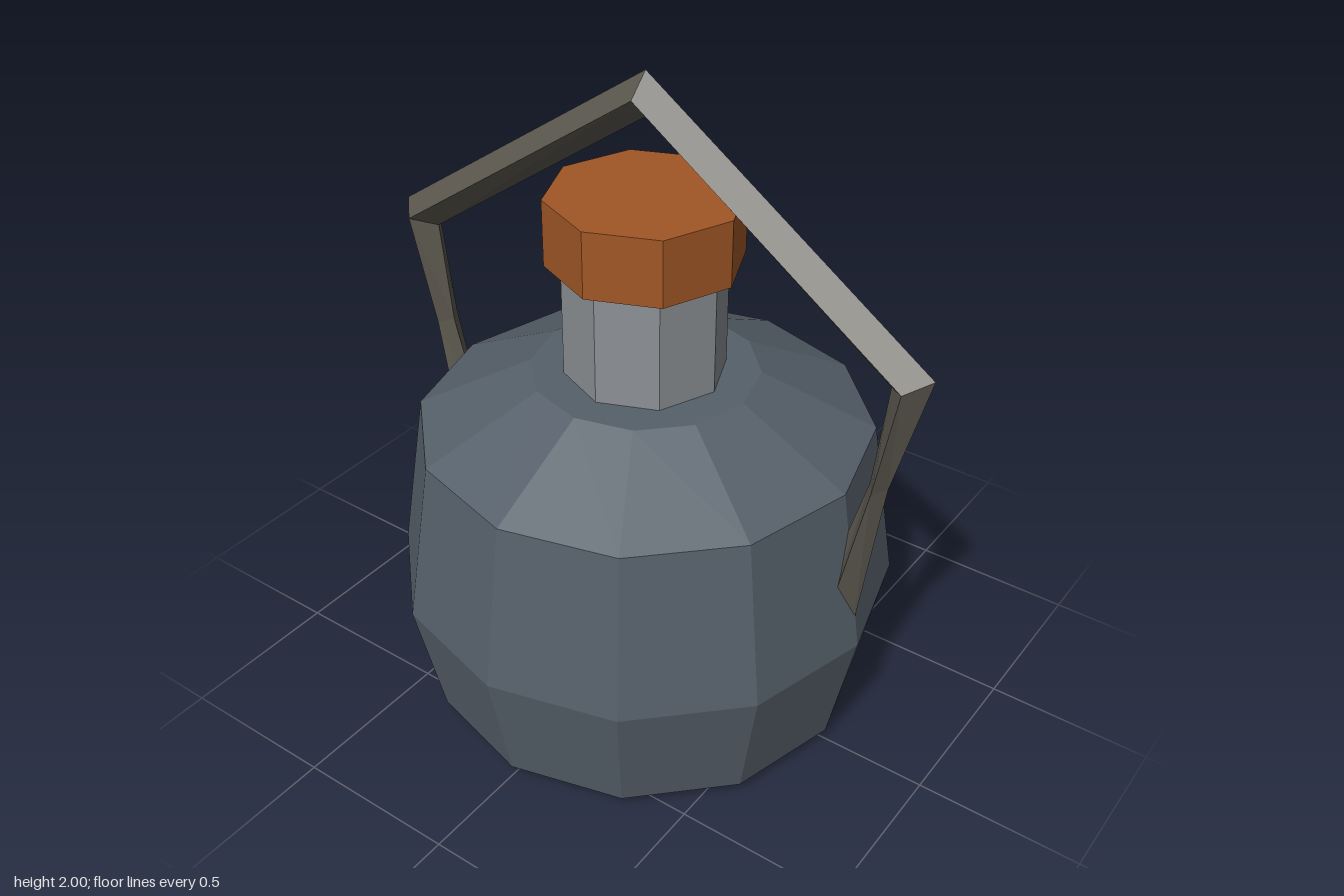
import * as THREE from 'three';

const mat = (color) => new THREE.MeshStandardMaterial({ color, flatShading: true });

function addPart(group, name, geometry, material, y = 0) {
  const mesh = new THREE.Mesh(geometry, material);
  mesh.name = name;
  mesh.position.y = y;
  group.add(mesh);
}

// Diamond-section strap: each section is outer ridge, side corners, inner ridge
function strapGeometry(sections) {
  const positions = [];
  const index = [];
  for (const { out, inn, w } of sections) {
    const mx = (out[0] + inn[0]) / 2;
    const my = (out[1] + inn[1]) / 2;
    positions.push(out[0], out[1], 0, mx, my, w, inn[0], inn[1], 0, mx, my, -w);
  }
  const last = (sections.length - 1) * 4;
  for (let i = 0; i < last; i += 4) {
    for (let j = 0; j < 4; j++) {
      const k = (j + 1) % 4;
      index.push(i + j, i + k, i + 4 + j, i + k, i + 4 + k, i + 4 + j);
    }
  }
  // End caps
  index.push(0, 2, 1, 0, 3, 2);
  index.push(last, last + 1, last + 2, last, last + 2, last + 3);
  const geometry = new THREE.BufferGeometry();
  geometry.setAttribute('position', new THREE.Float32BufferAttribute(positions, 3));
  geometry.setIndex(index);
  geometry.computeVertexNormals();
  return geometry;
}

export function createModel() {
  const group = new THREE.Group();
  group.name = 'flask';

  // Twelve-sided body with a slightly pointed base
  const profile = [[0, 0.005], [0.675, 0.04], [0.755, 0.425], [0.675, 0.93], [0.335, 1.1], [0, 1.1]]
    .map(([r, y]) => new THREE.Vector2(r, y));
  addPart(group, 'body', new THREE.LatheGeometry(profile, 12), mat(0x56606a));

  // Eight-sided neck and stopper
  addPart(group, 'neck', new THREE.CylinderGeometry(0.238, 0.238, 0.4, 8), mat(0x8c9094), 1.27);
  addPart(group, 'stopper', new THREE.CylinderGeometry(0.284, 0.284, 0.2, 8), mat(0xa05726), 1.55);

  // Peaked handle, mirrored about its apex, with its ends sunk in the body
  const apex = { out: [0, 2], inn: [0, 1.87], w: 0.065 };
  const side = [
    { out: [0.9, 1.38], inn: [0.78, 1.32], w: 0.065 },
    { out: [0.8, 1.0], inn: [0.745, 1.0], w: 0.045 },
    { out: [0.735, 0.5], inn: [0.62, 0.55], w: 0.06 },
  ];
  const mirrored = side
    .map(({ out, inn, w }) => ({ out: [-out[0], out[1]], inn: [-inn[0], inn[1]], w }))
    .reverse();
  addPart(group, 'handle', strapGeometry([...mirrored, apex, ...side]), mat(0x5c584f));

  return group;
}
